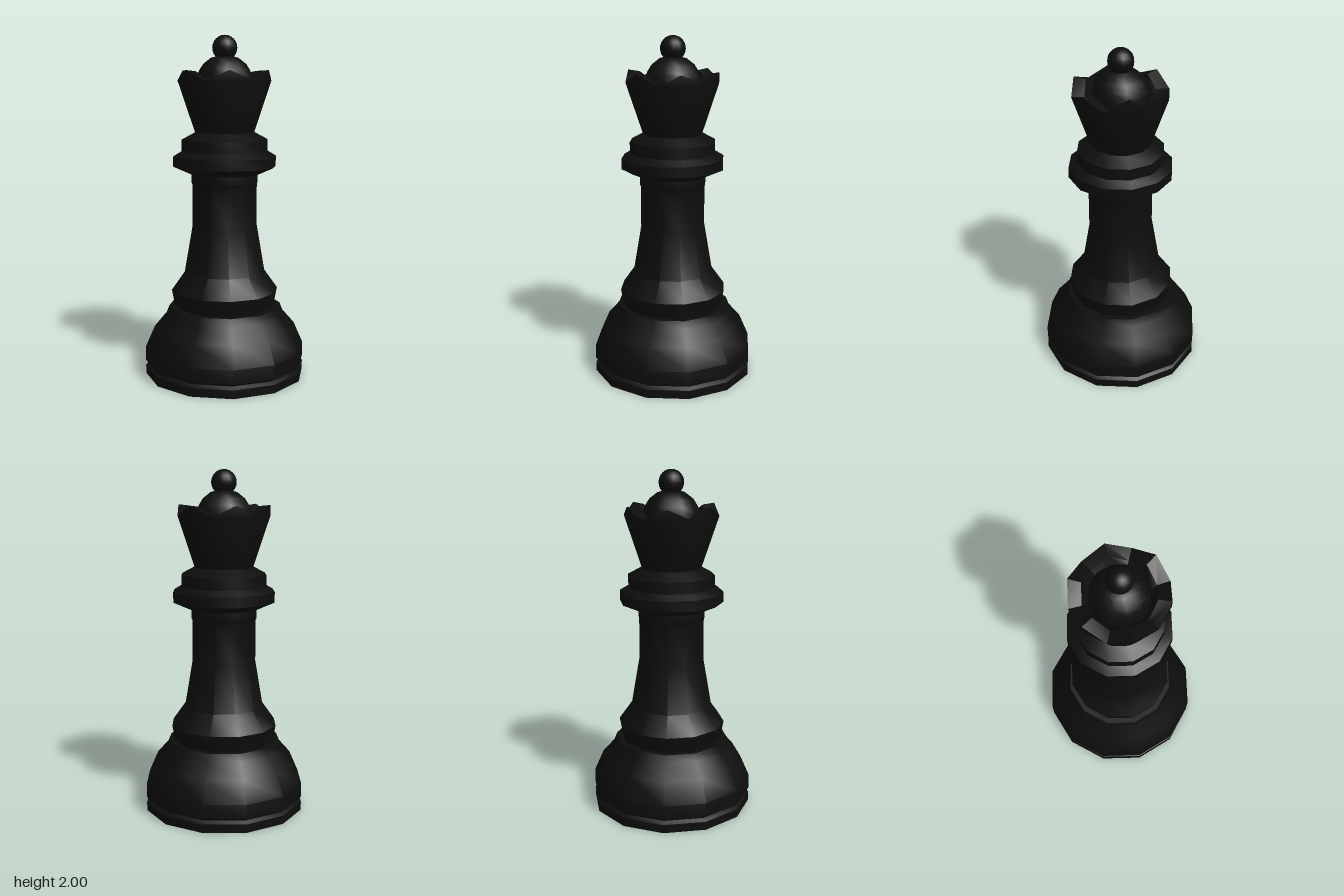
import * as THREE from 'three';
import { toCreasedNormals } from 'three/addons/utils/BufferGeometryUtils.js';

const SIDES = 12;
const CREASE = 0.62; // keeps the twelve sides smooth, profile steps sharp

export function createModel() {
  const model = new THREE.Group();
  model.name = 'chessQueen';
  const black = new THREE.MeshStandardMaterial({ color: 0x0d0d0d });
  black.name = 'black';

  const add = (name, geometry) => {
    const mesh = new THREE.Mesh(geometry, black);
    mesh.name = name;
    model.add(mesh);
    return mesh;
  };
  // Profiles are [radius, height], running from bottom to top
  const lathe = (profile) =>
    new THREE.LatheGeometry(profile.map(([r, y]) => new THREE.Vector2(r, y)), SIDES);
  const turned = (name, profile) => add(name, toCreasedNormals(lathe(profile), CREASE));

  // Foot with a thin groove above the floor ring
  turned('base', [
    [0, 0], [0.475, 0], [0.475, 0.05], [0.452, 0.065], [0.475, 0.082],
    [0.475, 0.165], [0.42, 0.29], [0.35, 0.37], [0.332, 0.415], [0.27, 0.415],
  ]);

  // Flared ring and tapering stem
  turned('stem', [
    [0.297, 0.41], [0.316, 0.51], [0.238, 0.62], [0.19, 0.9],
    [0.19, 1.14], [0.195, 1.15], [0.195, 1.205],
  ]);

  // Double collar
  turned('collar', [
    [0.18, 1.2], [0.2, 1.2], [0.302, 1.245], [0.302, 1.305], [0.252, 1.335],
    [0.252, 1.402], [0.172, 1.445],
  ]);

  // Flared crown: every other rim corner is raised into one of six points
  const profile = [
    [0.172, 1.44], [0.272, 1.74], [0.272, 1.742], [0.2, 1.735], [0.165, 1.7], [0, 1.7],
  ];
  const crown = lathe(profile);
  const position = crown.attributes.position;
  for (let side = 1; side < SIDES; side += 2) {
    for (const row of [2, 3]) {
      const i = side * profile.length + row;
      position.setY(i, position.getY(i) + 0.058);
    }
  }
  add('crown', toCreasedNormals(crown, CREASE));

  // Cap rising inside the crown
  turned('dome', [
    [0.165, 1.7], [0.163, 1.76], [0.147, 1.8], [0.125, 1.835], [0.08, 1.87], [0, 1.892],
  ]);

  // Ball on top
  add('finial', new THREE.SphereGeometry(0.073, 16, 12)).position.y = 1.927;

  return model;
}
